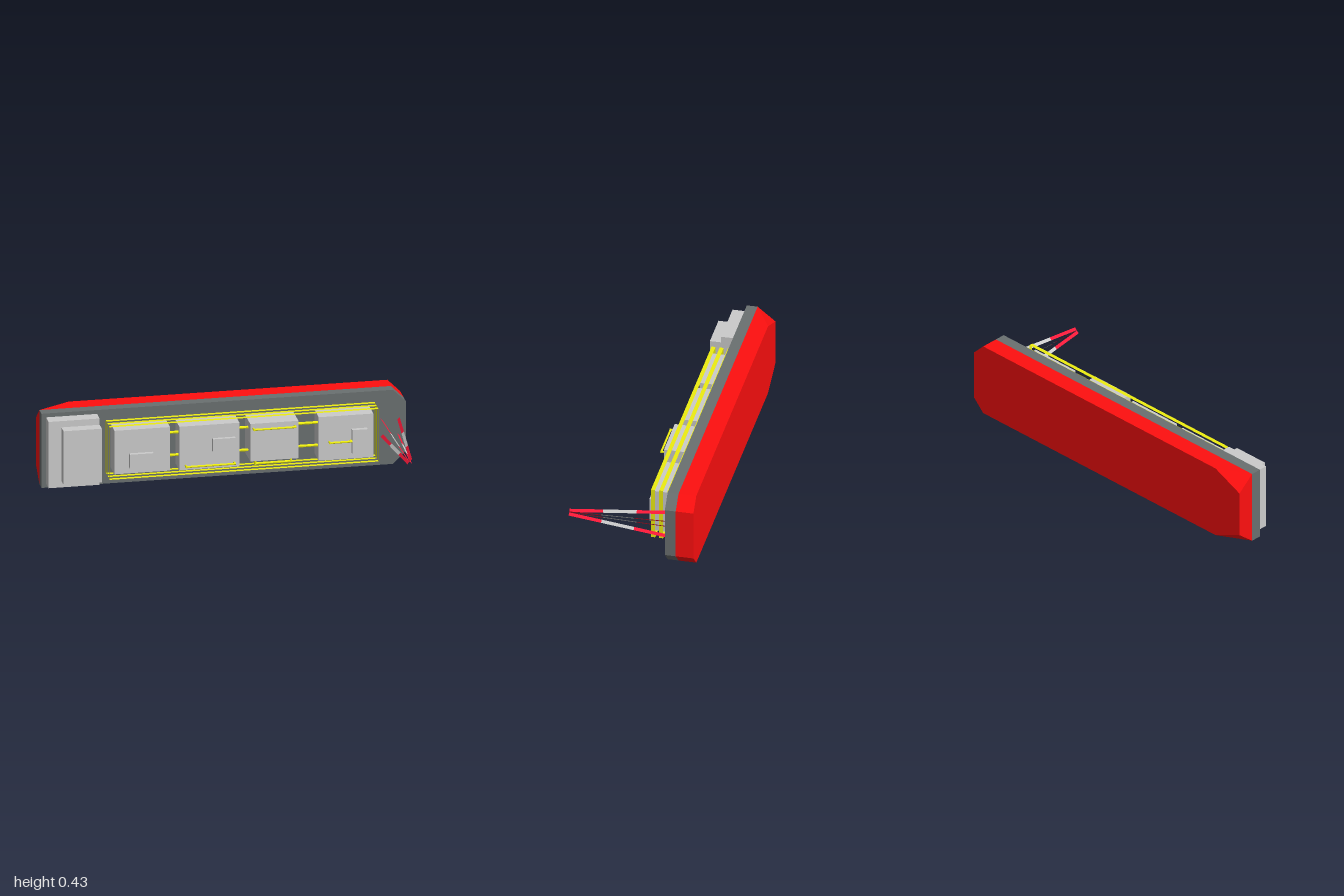
import * as THREE from 'three';

const mat = (color, side = THREE.FrontSide) =>
  new THREE.MeshStandardMaterial({ color, side, flatShading: true });
const grey = mat(0xcccccc);
const hullGrey = mat(0x6a7070);
const hullRed = mat(0xff0f0f);
const yellow = mat(0xeeee10);
const yellowThin = mat(0xeeee10, THREE.DoubleSide);
const redThin = mat(0xff1a3a, THREE.DoubleSide);
const greyThin = mat(0xcccccc, THREE.DoubleSide);

const H = 0.426, DECK = -0.195, SEAM = -0.255, KEEL = -0.353;

export function createModel() {
  const model = new THREE.Group();

  const add = (name, geometry, material) => {
    const mesh = new THREE.Mesh(geometry, material);
    mesh.name = name;
    model.add(mesh);
    return mesh;
  };
  // box given by its limits on each axis
  const box = (name, x0, x1, y0, y1, z0, z1, material = grey) =>
    add(name, new THREE.BoxGeometry(x1 - x0, y1 - y0, z1 - z0), material)
      .position.set((x0 + x1) / 2, (y0 + y1) / 2, (z0 + z1) / 2);
  // flat faces from a list of corner polygons
  const faces = (polys) => {
    const pos = [];
    for (const p of polys)
      for (let i = 1; i < p.length - 1; i++) pos.push(...p[0], ...p[i], ...p[i + 1]);
    const g = new THREE.BufferGeometry();
    g.setAttribute('position', new THREE.Float32BufferAttribute(pos, 3));
    g.computeVertexNormals();
    return g;
  };
  // round bar through a few points, with sharp bends
  const bar = (name, points, r) => {
    const path = new THREE.CurvePath();
    const v = points.map((p) => new THREE.Vector3(...p));
    for (let i = 0; i < v.length - 1; i++) {
      const dir = v[i + 1].clone().sub(v[i]);
      const len = dir.length() + (i < v.length - 2 ? r : 0);
      const g = new THREE.CylinderGeometry(r, r, len, 8);
      const m = add(name, g, yellow);
      dir.normalize();
      m.quaternion.setFromUnitVectors(new THREE.Vector3(0, 1, 0), dir);
      m.position.copy(v[i]).addScaledVector(dir, len / 2);
    }
    return path;
  };

  // upper hull: slab with a clipped bow
  const bow = [[0.93, 0], [1, 0.07], [1, H - 0.07], [0.93, H]];
  const outline = [[-1, 0], ...bow, [-1, H]];
  const slab = new THREE.ExtrudeGeometry(
    new THREE.Shape(outline.map((p) => new THREE.Vector2(...p))),
    { depth: DECK - SEAM, bevelEnabled: false });
  slab.translate(0, 0, SEAM);
  add('upperHull', slab, hullGrey);

  // lower hull: same outline at the seam, stern corners clipped at the keel
  const seam = [[-1, 0], ...bow, [-1, H], [-1, H], [-1, 0]];
  const keel = [[-0.82, 0], ...bow, [-0.82, H], [-1, H - 0.08], [-1, 0.08]];
  const polys = [keel.map(([x, y]) => [x, y, KEEL]).reverse()];
  seam.forEach((s, i) => {
    const j = (i + 1) % seam.length;
    polys.push([[...keel[i], KEEL], [...keel[j], KEEL], [...seam[j], SEAM], [...s, SEAM]]);
  });
  add('lowerHull', faces(polys), hullRed);

  // stern deckhouse in two steps
  box('deckhouseBase', -0.975, -0.695, 0.023, 0.404, DECK, -0.122);
  box('deckhouseTop', -0.905, -0.695, 0.06, 0.368, -0.122, -0.06);

  // deck modules and the small hatches on them
  box('module', -0.62, -0.315, 0.09, 0.34, DECK, -0.088);
  box('module', -0.265, 0.065, 0.09, 0.34, DECK, -0.082);
  box('tallModule', 0.118, 0.382, 0.125, 0.34, DECK, -0.05);
  box('module', 0.5, 0.8, 0.09, 0.34, DECK, -0.082);
  box('hatch', -0.54, -0.41, 0.125, 0.205, -0.088, -0.065);
  box('hatch', -0.085, 0.04, 0.19, 0.262, -0.082, -0.062);
  box('hatch', 0.68, 0.765, 0.125, 0.262, -0.082, -0.056);

  // pipes joining the modules
  for (const [a, b] of [[-0.315, -0.265], [0.065, 0.118], [0.382, 0.5]])
    for (const y of [0.17, 0.3])
      bar('pipe', [[a, y, -0.112], [b, y, -0.112]], 0.008);

  // grab rails standing off the modules
  const grabRail = (x0, x1, y, base, top) => bar('grabRail',
    [[x0, y, base], [x0, y, top], [x1, y, top], [x1, y, base]], 0.006);
  grabRail(-0.23, 0.035, 0.114, -0.082, -0.06);
  grabRail(0.136, 0.362, 0.312, -0.05, -0.031);
  grabRail(0.558, 0.675, 0.195, -0.082, -0.062);
  bar('sideRail', [[0.15, 0.125, -0.072], [0.15, 0.103, -0.072],
    [0.345, 0.103, -0.072], [0.345, 0.125, -0.072]], 0.007);

  // three thin railing bands looping round the modules
  const loop = [[-0.648, 0.063], [0.828, 0.063], [0.828, 0.365], [-0.648, 0.365]];
  for (const z of [-0.192, -0.147, -0.102]) {
    const band = loop.map((p, i) => {
      const q = loop[(i + 1) % 4];
      return [[...p, z], [...q, z], [...q, z + 0.022], [...p, z + 0.022]];
    });
    add('railing', faces(band), yellowThin);
  }

  // bow mast: four flat legs on crossed diagonals, striped red and grey
  const cx = 0.914, cy = 0.2135, tip = 0.353;
  for (const sx of [-1, 1]) for (const sy of [-1, 1])
    for (let k = 0; k < 3; k++) {
      const at = (t, w) => {
        const d = 0.0005 + 0.039 * (1 - t) + w;
        return [cx + sx * d, cy + sy * d, DECK + (tip - DECK) * t];
      };
      const [a, b] = [k / 3, (k + 1) / 3];
      add('mastLeg', faces([[at(a, 0), at(a, 0.013), at(b, 0.013), at(b, 0)]]),
        k === 1 ? greyThin : redThin);
    }

  return model;
}
